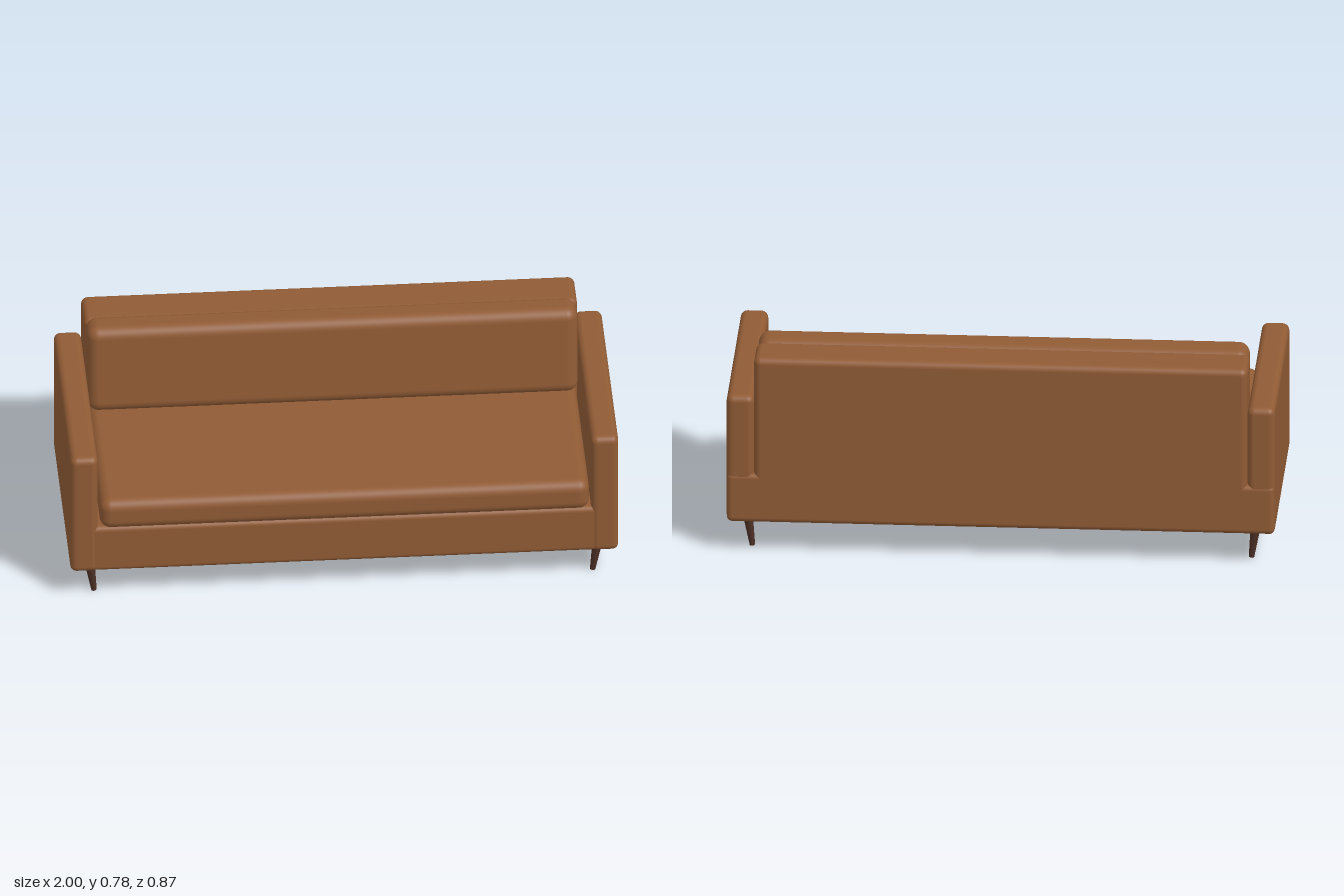
import * as THREE from 'three';
import { RoundedBoxGeometry } from 'three/addons/geometries/RoundedBoxGeometry.js';

export function createModel() {
  const sofa = new THREE.Group();
  sofa.name = 'sofa';

  const leather = new THREE.MeshStandardMaterial({ color: 0x905b35 });
  leather.name = 'brown leather';
  const wood = new THREE.MeshStandardMaterial({ color: 0x4e3127 });
  wood.name = 'dark wood';

  // Upholstered block given by its lower and upper corners
  function block(name, [x0, y0, z0], [x1, y1, z1], radius) {
    const geometry = new RoundedBoxGeometry(x1 - x0, y1 - y0, z1 - z0, 5, radius);
    const mesh = new THREE.Mesh(geometry, leather);
    mesh.name = name;
    mesh.position.set((x0 + x1) / 2, (y0 + y1) / 2, (z0 + z1) / 2);
    sofa.add(mesh);
    return mesh;
  }

  // Frame
  block('base', [-0.999, 0.121, -0.436], [0.999, 0.312, 0.416], 0.02);
  block('backrest', [-0.9, 0.13, -0.436], [0.9, 0.766, -0.263], 0.025);
  block('rightArm', [-1, 0.12, -0.434], [-0.9, 0.615, 0.42], 0.025);
  block('leftArm', [0.9, 0.12, -0.434], [1, 0.615, 0.42], 0.025);

  // Cushions, the back one leaning slightly
  block('seatCushion', [-0.893, 0.31, -0.26], [0.893, 0.432, 0.437], 0.04);
  const backCushion = block('backCushion', [-0.895, 0.435, -0.281], [0.895, 0.78, -0.151], 0.042);
  backCushion.rotation.x = -0.09;

  // Tapered legs, slanting inwards towards the floor
  const top = new THREE.Vector3(0.927, 0.135, 0.364);
  const foot = new THREE.Vector3(0.91, 0.002, 0.35);
  const axis = top.clone().sub(foot);
  const legGeometry = new THREE.CylinderGeometry(0.019, 0.01, axis.length(), 20);
  for (const sx of [-1, 1]) {
    for (const sz of [-1, 1]) {
      const flip = new THREE.Vector3(sx, 1, sz);
      const leg = new THREE.Mesh(legGeometry, wood);
      leg.name = `${sz > 0 ? 'front' : 'back'}${sx > 0 ? 'Left' : 'Right'}Leg`;
      leg.position.copy(top).add(foot).multiplyScalar(0.5).multiply(flip);
      leg.quaternion.setFromUnitVectors(
        new THREE.Vector3(0, 1, 0), axis.clone().multiply(flip).normalize());
      sofa.add(leg);
    }
  }
  return sofa;
}
